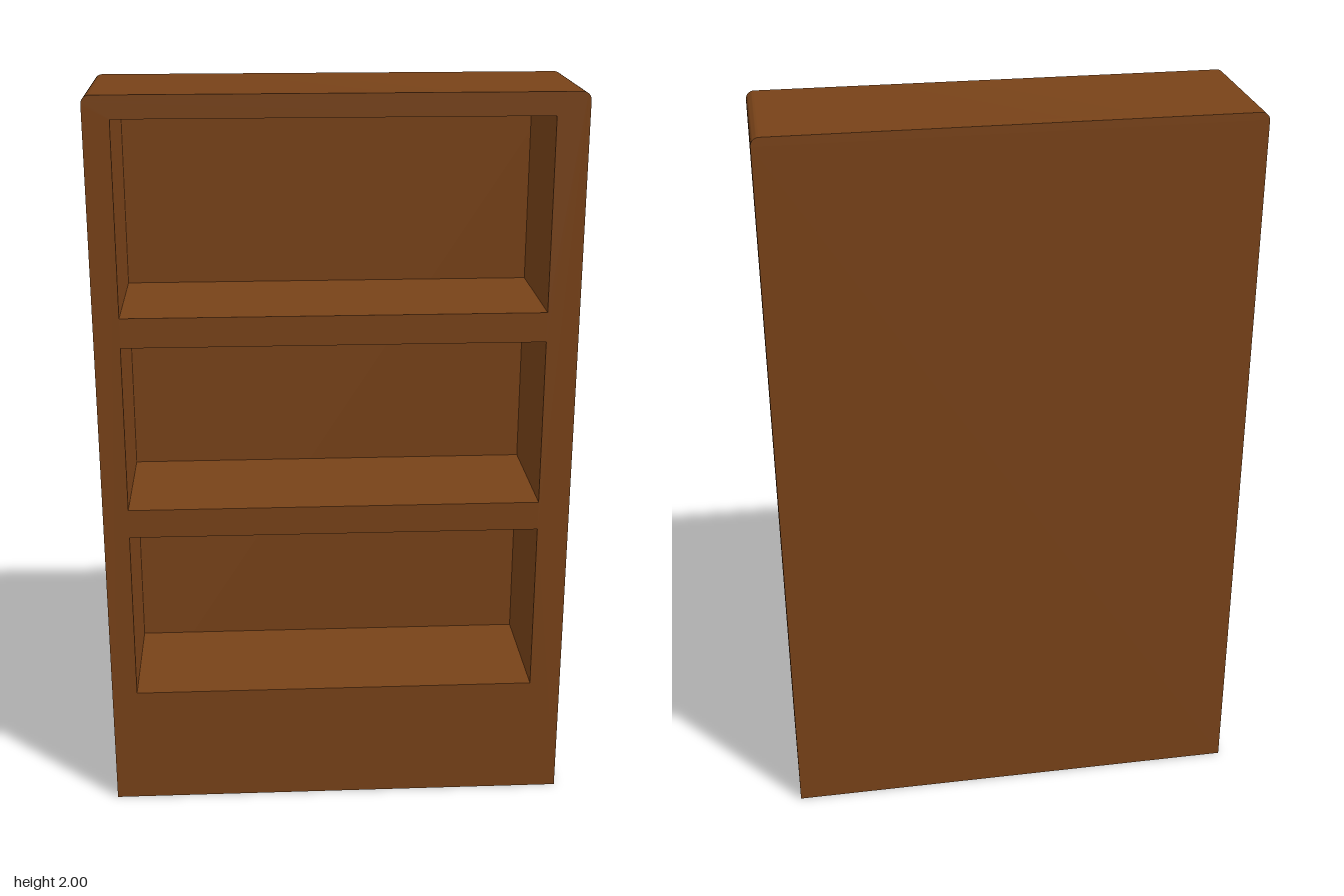
import * as THREE from 'three';
import { toCreasedNormals } from 'three/addons/utils/BufferGeometryUtils.js';

const HALF_W = 0.635, HEIGHT = 2, DEPTH = 0.4, BACK = 0.03, RADIUS = 0.022;

// Cabinet outline: square at the floor, rounded top corners
function outline() {
  const s = new THREE.Shape();
  s.moveTo(-HALF_W, 0);
  s.lineTo(HALF_W, 0);
  s.lineTo(HALF_W, HEIGHT - RADIUS);
  s.absarc(HALF_W - RADIUS, HEIGHT - RADIUS, RADIUS, 0, Math.PI / 2, false);
  s.absarc(-HALF_W + RADIUS, HEIGHT - RADIUS, RADIUS, Math.PI / 2, Math.PI, false);
  s.closePath();
  return s;
}

// Rectangular shelf opening
function opening(x0, x1, y0, y1) {
  return new THREE.Path([[x0, y0], [x0, y1], [x1, y1], [x1, y0]].map(([x, y]) => new THREE.Vector2(x, y)));
}

export function createModel() {
  const group = new THREE.Group();
  group.name = 'bookcase';
  const wood = new THREE.MeshStandardMaterial({ color: 0x784218 });

  const addPanel = (name, shape, depth, z) => {
    const geometry = new THREE.ExtrudeGeometry(shape, { depth, bevelEnabled: false, curveSegments: 6 });
    const mesh = new THREE.Mesh(toCreasedNormals(geometry, 0.5), wood);
    mesh.name = name;
    mesh.position.z = z;
    group.add(mesh);
  };

  // Sides, top, shelves and plinth in one piece, with three open bays
  const frame = outline();
  for (const [y0, y1] of [[0.337, 0.814], [0.894, 1.35], [1.43, 1.94]]) {
    frame.holes.push(opening(-0.566, 0.55, y0, y1));
  }
  addPanel('shelfFrame', frame, DEPTH - BACK, -DEPTH / 2 + BACK);

  // Solid back closing the bays
  addPanel('backPanel', outline(), BACK, -DEPTH / 2);

  return group;
}
